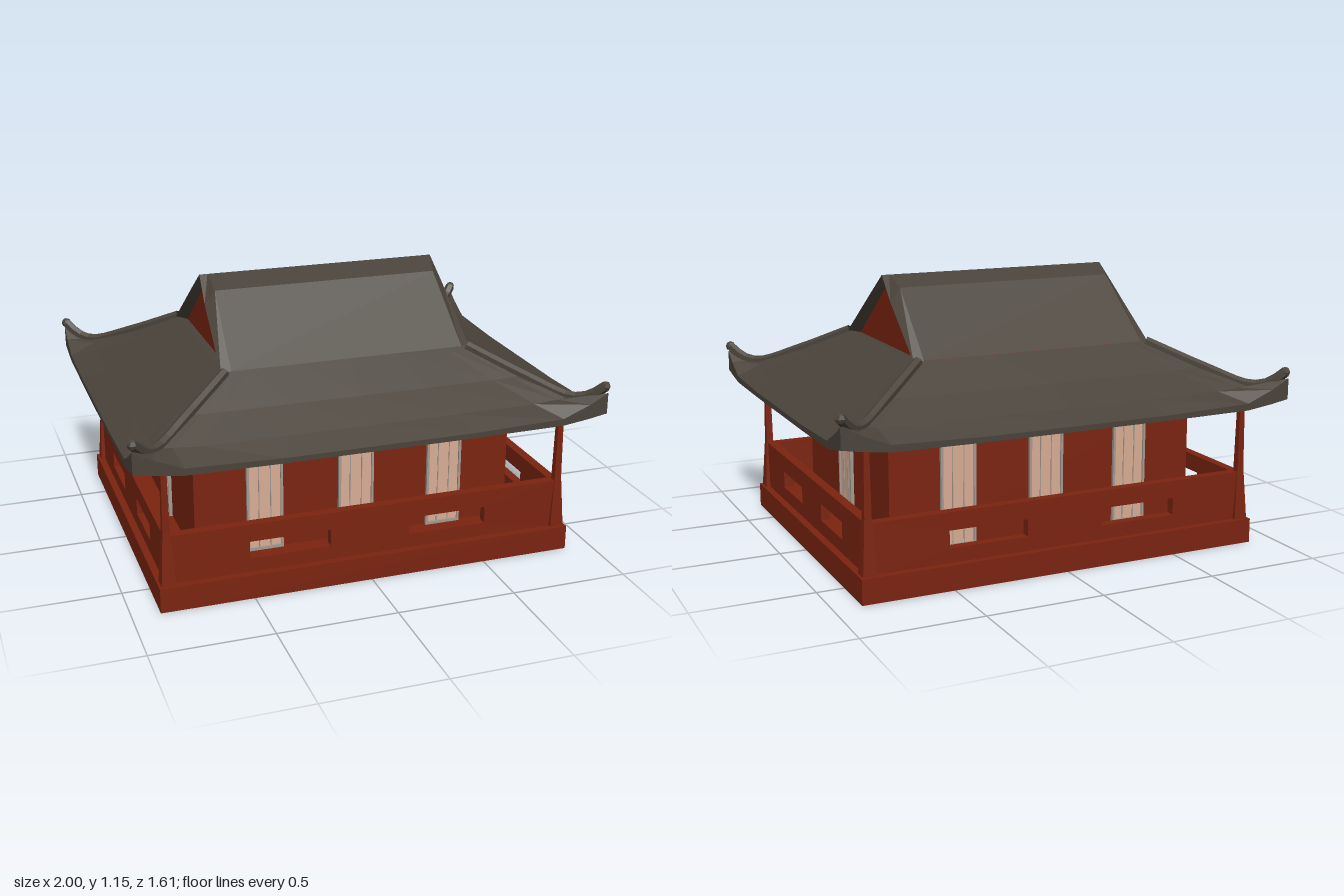
import * as THREE from 'three';

const mat = (name, color, side = THREE.FrontSide) => {
  const m = new THREE.MeshStandardMaterial({ color, side, flatShading: true });
  m.name = name;
  return m;
};

// Flat-shaded surface through rows of [x, y, z] points
function loft(rows, closed) {
  const pos = [];
  for (let r = 0; r < rows.length - 1; r++) {
    const a = rows[r], b = rows[r + 1], n = a.length;
    for (let i = 0; i < (closed ? n : n - 1); i++) {
      const j = (i + 1) % n;
      pos.push(...b[i], ...b[j], ...a[i], ...b[j], ...a[j], ...a[i]);
    }
  }
  const g = new THREE.BufferGeometry();
  g.setAttribute('position', new THREE.Float32BufferAttribute(pos, 3));
  g.computeVertexNormals();
  return g;
}

// Rectangular ring whose corners sweep upward
function ring(X, Z, y, rise) {
  const c = [[X, Z], [X, -Z], [-X, -Z], [-X, Z]], pts = [];
  c.forEach((p, k) => {
    const q = c[(k + 1) % 4];
    for (const u of [-1, -0.92, -0.8, -0.4, 0, 0.4, 0.8, 0.92]) {
      const t = (u + 1) / 2, w = Math.max(0, (Math.abs(u) - 0.75) / 0.25) ** 1.4;
      pts.push([p[0] + (q[0] - p[0]) * t, y + rise * w, p[1] + (q[1] - p[1]) * t]);
    }
  });
  return pts;
}

const poly = (pts) => new THREE.Shape(pts.map(([x, y]) => new THREE.Vector2(x, y)));
const extrude = (shape, depth) => new THREE.ExtrudeGeometry(shape, { depth, bevelEnabled: false });
const rect = (x0, x1, y0, y1) => [[x0, y0], [x1, y0], [x1, y1], [x0, y1]];

export function createModel() {
  const model = new THREE.Group();
  model.name = 'pavilion';
  const red = mat('red wood', 0x7c2410);
  const roofMat = mat('roof tile', 0x4a433b, THREE.DoubleSide);
  const paneMat = mat('window pane', 0xd9ad95);
  const frameMat = mat('window frame', 0xa59b92);

  const add = (name, geo, m, x = 0, y = 0, z = 0, parent = model) => {
    const mesh = new THREE.Mesh(geo, m);
    mesh.name = name;
    mesh.position.set(x, y, z);
    parent.add(mesh);
    return mesh;
  };

  // Plinth and hall
  add('plinth', new THREE.BoxGeometry(1.77, 0.105, 1.42), red, 0, 0.0525, 0);
  add('hallWalls', new THREE.BoxGeometry(1.38, 0.53, 0.99), red, 0, 0.365, 0);

  // Parapets with two slots per side
  const parapet = (half, s0, s1) => {
    const s = poly(rect(-half, half, 0.1, 0.313));
    for (const [a, b] of [[-s1, -s0], [s0, s1]]) s.holes.push(poly(rect(a, b, 0.165, 0.238)));
    return extrude(s, 0.04);
  };
  const frontParapet = parapet(0.835, 0.17, 0.51), sideParapet = parapet(0.655, 0.13, 0.4);
  for (let k = 0; k < 4; k++) {
    const side = new THREE.Group();
    side.name = ['frontParapet', 'leftParapet', 'backParapet', 'rightParapet'][k];
    side.rotation.y = k * Math.PI / 2;
    add('parapetPanel', k % 2 ? sideParapet : frontParapet, red, 0, 0, k % 2 ? 0.815 : 0.64, side);
    model.add(side);
  }

  // Corner posts with flared feet
  for (const sx of [-1, 1]) for (const sz of [-1, 1]) {
    const square = (h, y) => [[h, y, h], [h, y, -h], [-h, y, -h], [-h, y, h]];
    add('cornerPost', loft([square(0.011, 0.635), square(0.015, 0.33), square(0.03, 0.1)], true),
      red, sx * 0.845, 0, sz * 0.667);
  }

  // Arched windows reaching the floor
  const arch = (w, y0, top) => [[-w, y0], [w, y0], [w, top - 0.06], [w * 0.78, top - 0.03],
    [w * 0.38, top], [-w * 0.38, top], [-w * 0.78, top - 0.03], [-w, top - 0.06]];
  const frameShape = poly(arch(0.077, 0.105, 0.622));
  frameShape.holes.push(poly(arch(0.067, 0.118, 0.611)));
  const frameGeo = extrude(frameShape, 0.015);
  const paneGeo = extrude(poly(arch(0.07, 0.11, 0.614)), 0.007);
  const barGeo = new THREE.BoxGeometry(0.004, 0.49, 0.004);
  const addWindow = (x, z, turn) => {
    const w = new THREE.Group();
    w.name = 'archedWindow';
    add('pane', paneGeo, paneMat, 0, 0, 0, w);
    add('frame', frameGeo, frameMat, 0, 0, 0, w);
    for (const bx of [-0.025, 0.025]) add('mullion', barGeo, frameMat, bx, 0.36, 0.008, w);
    w.position.set(x, 0, z);
    w.rotation.y = turn;
    model.add(w);
  };
  for (const x of [-0.395, 0, 0.395]) {
    addWindow(x, 0.494, 0);
    addWindow(x, -0.494, Math.PI);
  }
  addWindow(0.689, 0, Math.PI / 2);
  addWindow(-0.689, 0, -Math.PI / 2);

  // Lower hipped roof with eave edge and soffit
  add('lowerRoof', loft([
    ring(0.45, 0.36, 0.85, 0), ring(0.53, 0.405, 0.86, 0), ring(0.72, 0.565, 0.755, 0.005),
    ring(0.88, 0.7, 0.68, 0.015), ring(0.985, 0.8, 0.632, 0.1),
    ring(0.985, 0.8, 0.61, 0.033), ring(0.72, 0.53, 0.615, 0), ring(0.6, 0.4, 0.615, 0),
  ], true), roofMat);

  // Upper gabled roof with sloping verges
  const half = (p) => [...p.map(([x, y, z]) => [x, y, -z]), ...p.slice(0, -1).reverse()];
  const inner = half([[0.5, 0.862, 0.41], [0.485, 1.115, 0.12], [0.485, 1.155, 0]]);
  const outer = half([[0.54, 0.855, 0.4], [0.53, 1.06, 0.12], [0.52, 1.155, 0]]);
  const verge = half([[0.49, 0.84, 0.365], [0.49, 1.025, 0.12], [0.49, 1.115, 0]]);
  const flip = (row) => row.map(([x, y, z]) => [-x, y, z]);
  add('upperRoof', loft([verge, outer, inner, flip(inner), flip(outer), flip(verge)], false), roofMat);

  // Red gable ends
  const gableGeo = extrude(poly([[-0.365, 0.845], [0.365, 0.845], [0, 1.115]]), 0.99);
  gableGeo.translate(0, 0, -0.495).rotateY(Math.PI / 2);
  add('gableEnds', gableGeo, red);

  // Hip ridges curling up at the corners
  for (const sx of [-1, 1]) for (const sz of [-1, 1]) {
    const path = new THREE.CatmullRomCurve3([[0.525, 0.86, 0.405], [0.72, 0.76, 0.565],
      [0.87, 0.695, 0.695], [0.93, 0.71, 0.745], [0.978, 0.757, 0.785]]
      .map(([x, y, z]) => new THREE.Vector3(sx * x, y, sz * z)));
    add('hipRidge', new THREE.TubeGeometry(path, 14, 0.022, 6), roofMat);
    add('hipRidgeTip', new THREE.SphereGeometry(0.022, 6, 4), roofMat, sx * 0.978, 0.757, sz * 0.785);
  }
  return model;
}
